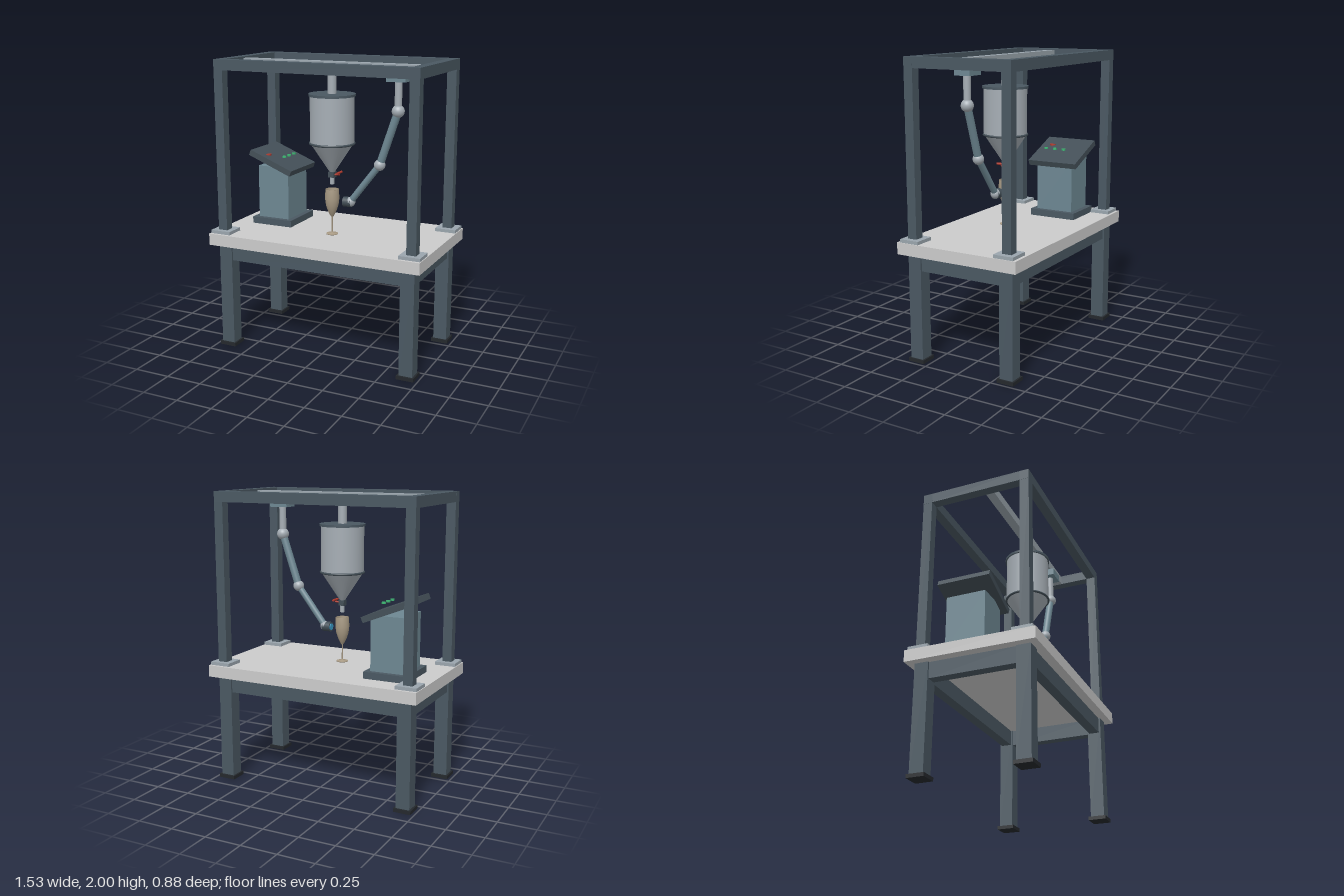
import * as THREE from 'three';

const V = (x, y, z) => new THREE.Vector3(x, y, z);
const mat = (color, side = THREE.FrontSide) => new THREE.MeshStandardMaterial({ color, side });
const frameMat = mat(0x4a5862), footMat = mat(0x24282c), topMat = mat(0xbcc0c0);
const plateMat = mat(0x9aa5ad), blueMat = mat(0x6d8792), panelMat = mat(0x434f57);
const steelMat = mat(0xa5adb4), redMat = mat(0xb03a2e), greenMat = mat(0x3cb371);
const lensMat = mat(0x3a9bc8), cupMat = mat(0xa89a84, THREE.DoubleSide);

export function createModel() {
  const root = new THREE.Group();

  const group = (name) => {
    const g = new THREE.Group();
    g.name = name;
    root.add(g);
    return g;
  };
  const add = (parent, name, geo, m, x, y, z) => {
    const mesh = new THREE.Mesh(geo, m);
    mesh.name = name;
    mesh.position.set(x, y, z);
    parent.add(mesh);
    return mesh;
  };
  // Box given by centre x, z and its bottom and top heights
  const box = (parent, name, m, x, z, w, d, y0, y1) =>
    add(parent, name, new THREE.BoxGeometry(w, y1 - y0, d), m, x, (y0 + y1) / 2, z);
  // Upright cylinder or cone between two heights
  const cyl = (parent, name, m, x, z, rBottom, rTop, y0, y1) =>
    add(parent, name, new THREE.CylinderGeometry(rTop, rBottom, y1 - y0, 32), m, x, (y0 + y1) / 2, z);
  // Cylinder between two points
  const rod = (parent, name, m, a, b, r) => {
    const dir = b.clone().sub(a), mid = a.clone().add(b).multiplyScalar(0.5);
    const mesh = add(parent, name, new THREE.CylinderGeometry(r, r, dir.length(), 24), m, mid.x, mid.y, mid.z);
    mesh.quaternion.setFromUnitVectors(V(0, 1, 0), dir.normalize());
    return mesh;
  };

  // Table and overhead frame
  const table = group('table'), frame = group('overheadFrame');
  box(table, 'tableTop', topMat, 0, 0, 1.53, 0.88, 0.74, 0.82);
  for (const sx of [-1, 1]) {
    for (const sz of [-1, 1]) {
      box(table, 'leg', frameMat, sx * 0.667, sz * 0.342, 0.095, 0.095, 0.02, 0.74);
      box(table, 'foot', footMat, sx * 0.667, sz * 0.342, 0.12, 0.12, 0, 0.024);
      box(frame, 'postPlate', plateMat, sx * 0.687, sz * 0.35, 0.145, 0.14, 0.82, 0.842);
      box(frame, 'post', frameMat, sx * 0.687, sz * 0.352, 0.065, 0.065, 0.842, 1.93);
    }
    box(table, 'sideApron', frameMat, sx * 0.667, 0, 0.07, 0.59, 0.63, 0.74);
    box(table, 'longApron', frameMat, 0, sx * 0.342, 1.24, 0.07, 0.63, 0.74);
    box(frame, 'sideBeam', frameMat, sx * 0.687, 0, 0.065, 0.64, 1.93, 2);
    box(frame, 'longBeam', frameMat, 0, sx * 0.352, 1.44, 0.065, 1.93, 2);
  }
  const Z = 0.083; // working line under the rail
  box(frame, 'rail', plateMat, 0, Z, 1.31, 0.06, 1.93, 1.99);

  // Hopper with outlet valve
  const hopper = group('hopper');
  cyl(hopper, 'hanger', steelMat, 0, Z, 0.029, 0.029, 1.77, 1.93);
  cyl(hopper, 'tank', steelMat, 0, Z, 0.148, 0.148, 1.45, 1.768);
  cyl(hopper, 'lid', frameMat, 0, Z, 0.157, 0.157, 1.764, 1.78);
  const band = add(hopper, 'lowerBand', new THREE.TorusGeometry(0.148, 0.008, 10, 40), panelMat, 0, 1.45, Z);
  band.rotation.x = Math.PI / 2;
  cyl(hopper, 'cone', steelMat, 0, Z, 0.018, 0.146, 1.255, 1.45);
  box(hopper, 'valve', panelMat, 0, Z, 0.042, 0.042, 1.217, 1.255);
  cyl(hopper, 'nozzle', steelMat, 0, Z, 0.015, 0.015, 1.17, 1.22);
  rod(hopper, 'valveStem', redMat, V(0.015, 1.236, Z), V(0.055, 1.24, Z), 0.006);
  rod(hopper, 'valveHandle', redMat, V(0.054, 1.252, Z - 0.035), V(0.054, 1.252, Z + 0.035), 0.008);

  // Goblet: outside up, lip, then inside down
  const goblet = [[0, 0.82], [0.04, 0.82], [0.04, 0.825], [0.006, 0.83], [0.004, 0.84], [0.004, 0.94],
    [0.012, 0.948], [0.03, 0.985], [0.043, 1.025], [0.049, 1.07], [0.046, 1.135],
    [0.042, 1.135], [0.044, 1.07], [0.038, 1.025], [0.025, 0.985], [0, 0.955]];
  add(root, 'goblet', new THREE.LatheGeometry(goblet.map(([r, y]) => new THREE.Vector2(r, y)), 32), cupMat, 0, 0, Z);

  // Jointed arm hanging from the rail
  const arm = group('arm');
  const shoulder = V(0.468, 1.69, Z), elbow = V(0.345, 1.33, Z), wrist = V(0.135, 1.06, Z);
  box(arm, 'armMount', blueMat, 0.467, 0.078, 0.13, 0.116, 1.88, 1.93);
  rod(arm, 'dropTube', steelMat, V(0.468, 1.88, Z), shoulder, 0.024);
  rod(arm, 'upperArm', blueMat, shoulder, elbow, 0.026);
  rod(arm, 'forearm', blueMat, elbow, wrist, 0.022);
  [[shoulder, 0.042], [elbow, 0.038], [wrist, 0.034]].forEach(([p, r]) =>
    add(arm, 'joint', new THREE.SphereGeometry(r, 28, 18), steelMat, p.x, p.y, p.z));
  rod(arm, 'sensorHousing', panelMat, V(0.145, 1.058, Z), V(0.088, 1.058, Z), 0.034);
  rod(arm, 'sensorLens', lensMat, V(0.09, 1.058, Z), V(0.083, 1.058, Z), 0.024);

  // Control console with sloping panel
  const desk = group('console'), CZ = -0.105;
  box(desk, 'consoleBase', frameMat, -0.483, CZ, 0.305, 0.345, 0.82, 0.866);
  box(desk, 'consoleColumn', blueMat, -0.483, CZ, 0.235, 0.275, 0.866, 1.235);
  const panel = box(desk, 'controlPanel', panelMat, -0.483, CZ, 0.343, 0.37, 1.25, 1.29);
  panel.rotation.z = -0.38;
  for (const z of [-0.15, -0.08, -0.01])
    cyl(desk, 'greenButton', greenMat, -0.416, z, 0.014, 0.014, 1.298, 1.31);
  cyl(desk, 'redButton', redMat, -0.542, 0, 0.023, 0.023, 1.3, 1.317);

  return root;
}
